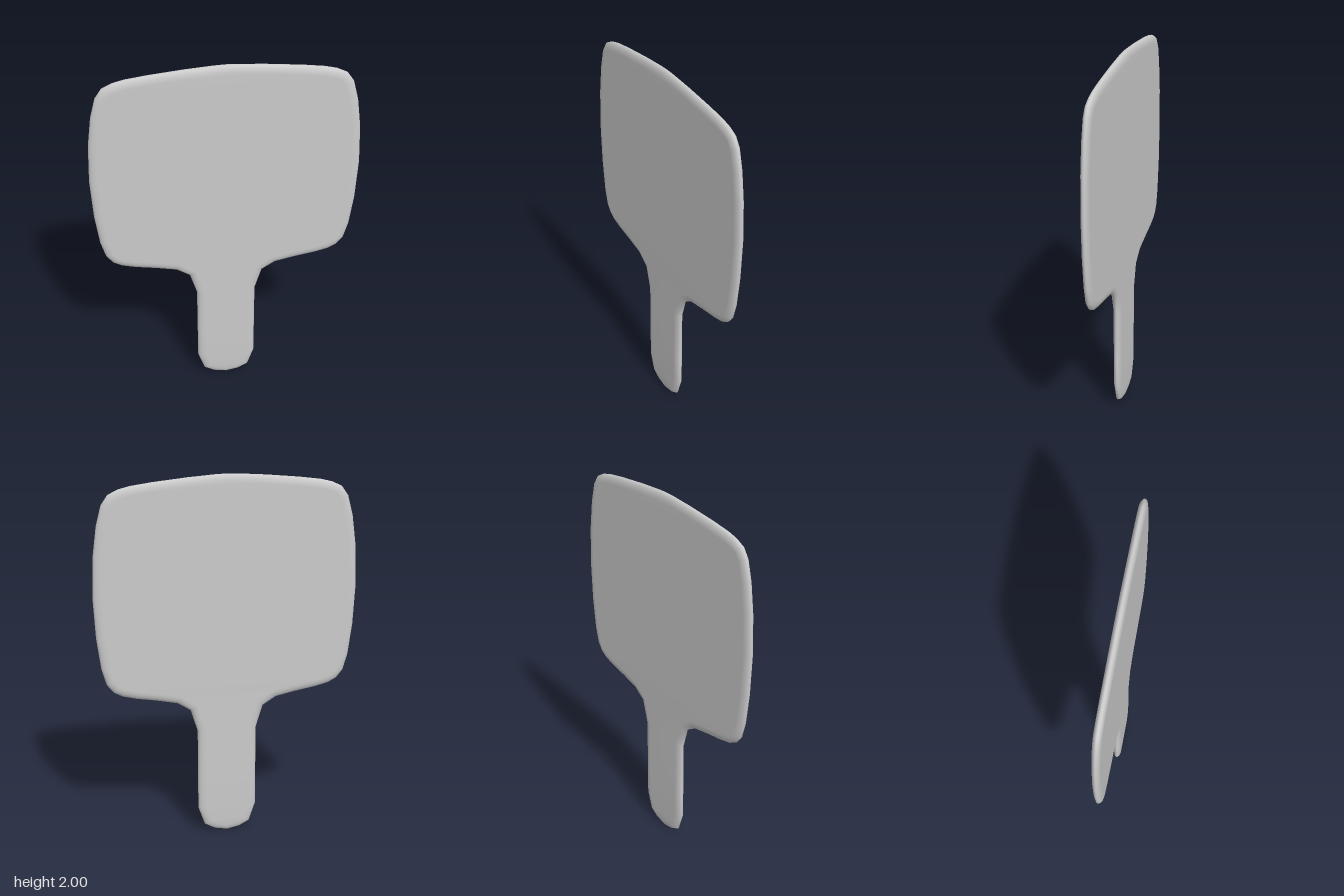
import * as THREE from 'three';
import { mergeVertices } from 'three/addons/utils/BufferGeometryUtils.js';

// Right-hand half of the outline, from the handle's tip up to the top centre
const OUTLINE = [
  [0, 0], [0.07, 0.014], [0.125, 0.045], [0.16, 0.15], [0.16, 0.3], [0.16, 0.61], [0.198, 0.735],
  [0.27, 0.78], [0.38, 0.803], [0.49, 0.822], [0.56, 0.84], [0.605, 0.865], [0.64, 0.91],
  [0.665, 1.0], [0.686, 1.17], [0.696, 1.39], [0.687, 1.6], [0.665, 1.76], [0.637, 1.865],
  [0.602, 1.915], [0.55, 1.94], [0.49, 1.955], [0.38, 1.97], [0.2, 1.988], [0.06, 1.998], [0, 2],
].map(([x, y]) => new THREE.Vector2(x, y));

const HALF_THICKNESS = 0.021;
const EDGE = 0.045; // width of the rounded rim
const STEPS = 10;   // facets around the rim

// Outward direction of the outline at point i
function outward(i) {
  const n = OUTLINE.length;
  if (i === 0) return new THREE.Vector2(0, -1);
  if (i === n - 1) return new THREE.Vector2(0, 1);
  const a = OUTLINE[i].clone().sub(OUTLINE[i - 1]).normalize();
  const b = OUTLINE[i + 1].clone().sub(OUTLINE[i]).normalize();
  const t = a.add(b).normalize();
  return new THREE.Vector2(t.y, -t.x);
}

// Slab lofted from mirrored cross-sections, with an elliptical rim
function paddleGeometry() {
  const positions = [], index = [];
  const ring = 2 * (STEPS + 1);
  OUTLINE.forEach((p, i) => {
    const out = outward(i);
    // the handle thins towards its tip
    const half = HALF_THICKNESS * Math.min(1, 0.72 + 0.28 * Math.sqrt(p.y / 0.3));
    for (const side of [1, -1]) {
      for (let k = 0; k <= STEPS; k++) {
        const a = side * (Math.PI / 2 - (k / STEPS) * Math.PI);
        const inset = EDGE * (1 - Math.cos(a));
        positions.push(side * (p.x - out.x * inset), p.y - out.y * inset, half * Math.sin(a));
      }
    }
  });
  for (let i = 0; i < OUTLINE.length - 1; i++) {
    for (let k = 0; k < ring; k++) {
      const a = i * ring + k, b = i * ring + (k + 1) % ring;
      index.push(a, b + ring, a + ring, a, b, b + ring);
    }
  }
  const g = new THREE.BufferGeometry();
  g.setAttribute('position', new THREE.Float32BufferAttribute(positions, 3));
  g.setIndex(index);
  const merged = mergeVertices(g, 1e-5);
  merged.computeVertexNormals();
  return merged;
}

export function createModel() {
  const group = new THREE.Group();
  group.name = 'handMirror';
  const material = new THREE.MeshStandardMaterial({ color: 0xcccccc, side: THREE.DoubleSide });
  const paddle = new THREE.Mesh(paddleGeometry(), material);
  paddle.name = 'mirrorBodyAndHandle';
  group.add(paddle);
  return group;
}
